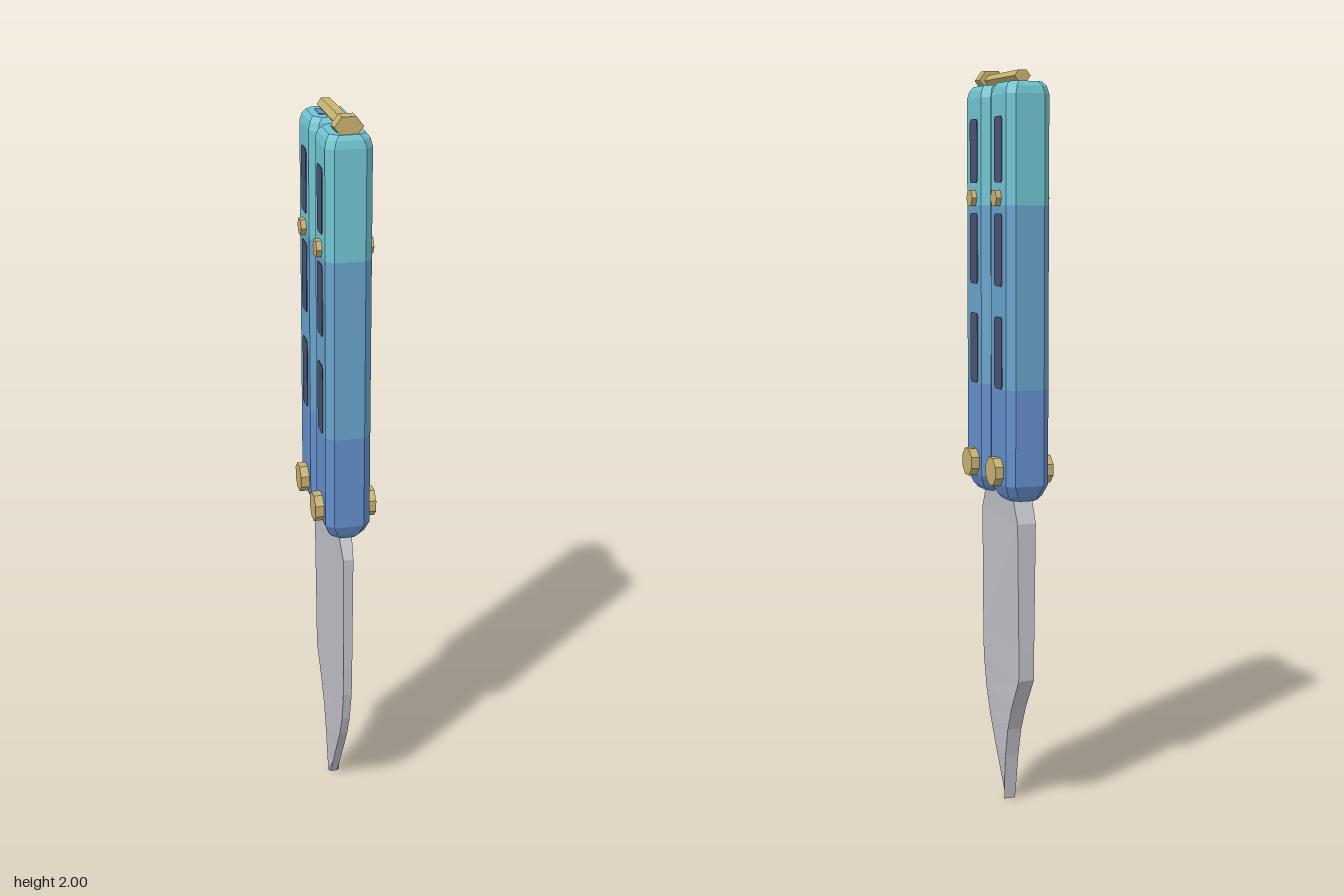
import * as THREE from 'three';

const mat = (name, color, flat = true) => new THREE.MeshStandardMaterial({ name, color, flatShading: flat });

// Closed solid from stacked rings; each ring is a list of [x, y, z], counterclockwise from above
function loft(rings) {
  const pos = [];
  const tri = (...p) => p.forEach(v => pos.push(...v));
  const n = rings[0].length;
  for (let r = 0; r < rings.length - 1; r++) {
    const a = rings[r], b = rings[r + 1];
    for (let i = 0; i < n; i++) {
      const j = (i + 1) % n;
      tri(a[i], a[j], b[j]);
      tri(a[i], b[j], b[i]);
    }
  }
  const lo = rings[0], hi = rings[rings.length - 1];
  for (let i = 1; i < n - 1; i++) {
    tri(lo[0], lo[i + 1], lo[i]);
    tri(hi[0], hi[i], hi[i + 1]);
  }
  const g = new THREE.BufferGeometry();
  g.setAttribute('position', new THREE.Float32BufferAttribute(pos, 3));
  g.computeVertexNormals();
  return g;
}

// Chamfered rectangle ring of the handle at height y, shrunk by inset
function handleRing([y, inset]) {
  const x = 0.06 - inset, z = 0.075 - inset, c = 0.02;
  return [[x, z - c], [x, c - z], [x - c, -z], [c - x, -z], [-x, c - z], [-x, z - c], [c - x, z], [x - c, z]]
    .map(([px, pz]) => [px, y, pz]);
}

// Blade ring: thin cutting edge at +z, thick spine at -z
function bladeRing([y, edgeZ, spineZ, edgeT, spineT]) {
  return [[edgeT, y, edgeZ], [spineT, y, spineZ], [-spineT, y, spineZ], [-edgeT, y, edgeZ]];
}

export function createModel() {
  const teal = mat('teal', 0x70c4d2);
  const midBlue = mat('mid blue', 0x68a3cc);
  const deepBlue = mat('deep blue', 0x648fcc);
  const slotDark = mat('slot dark', 0x4c5272);
  const brass = mat('brass', 0xc8b272);
  const steel = mat('steel', 0xc0c0c8);

  const model = new THREE.Group();
  const add = (parent, name, geo, material, x = 0, y = 0, z = 0) => {
    const m = new THREE.Mesh(geo, material);
    m.name = name;
    m.position.set(x, y, z);
    parent.add(m);
    return m;
  };

  // Blade with tang, from the tip upwards
  add(model, 'blade', loft([
    [0, -0.014, -0.02, 0.009, 0.016],
    [0.06, 0.02, -0.028, 0.010, 0.018],
    [0.13, 0.06, -0.038, 0.011, 0.019],
    [0.21, 0.106, -0.058, 0.011, 0.020],
    [0.28, 0.135, -0.09, 0.011, 0.021],
    [0.37, 0.154, -0.146, 0.012, 0.022],
    [0.45, 0.158, -0.147, 0.012, 0.022],
    [0.80, 0.158, -0.147, 0.014, 0.026],
    [0.86, 0.12, -0.118, 0.018, 0.027],
    [0.90, 0.10, -0.10, 0.024, 0.028],
    [1.055, 0.10, -0.10, 0.024, 0.028],
  ].map(bladeRing)), steel);

  // Slot plate outline with clipped corners
  const slotGeo = height => {
    const w = 0.028, h = height / 2, c = 0.008;
    const s = new THREE.Shape([[w, c - h], [w, h - c], [w - c, h], [c - w, h], [-w, h - c], [-w, c - h], [c - w, -h], [w - c, -h]]
      .map(p => new THREE.Vector2(...p)));
    return new THREE.ExtrudeGeometry(s, { depth: 0.004, bevelEnabled: false })
      .translate(0, 0, -0.002).rotateY(Math.PI / 2);
  };

  // Pin running across a handle
  const pinGeo = (r, half, sides) =>
    new THREE.CylinderGeometry(r, r, half * 2, sides).rotateZ(Math.PI / 2);

  const bands = [
    ['lowerGrip', deepBlue, [[0.862, 0.022], [0.875, 0.012], [0.905, 0], [1.16, 0]]],
    ['middleGrip', midBlue, [[1.16, 0], [1.64, 0]]],
    ['upperGrip', teal, [[1.64, 0], [1.925, 0], [1.945, 0.005], [1.957, 0.014]]],
  ];
  const slots = [[1.785, 0.17], [1.525, 0.19], [1.255, 0.19]];

  for (const [name, z] of [['frontHandle', 0.093], ['backHandle', -0.094]]) {
    const handle = new THREE.Group();
    handle.name = name;
    handle.position.z = z;
    model.add(handle);
    for (const [part, material, rings] of bands) add(handle, part, loft(rings.map(handleRing)), material);
    for (const side of [-1, 1]) {
      for (const [y, h] of slots) add(handle, 'slot', slotGeo(h), slotDark, side * 0.06, y);
    }
    add(handle, 'pivotPin', pinGeo(0.04, 0.083, 8).rotateX(Math.PI / 8), brass, 0, 0.94);
    add(handle, 'spacerPin', pinGeo(0.024, 0.074, 6), brass, 0, 1.66);
    // Inlay on the handle's end
    add(handle, 'endInlay', new THREE.BoxGeometry(0.052, 0.004, 0.06), deepBlue, 0, 1.957, 0);
  }

  // Latch: hexagonal bar with a larger head, lying across both handle ends
  const hexBar = (r, halfHeight, length) =>
    new THREE.CylinderGeometry(r, r, length, 6).rotateY(Math.PI / 2).rotateX(Math.PI / 2)
      .rotateZ(0).scale(1, 1, 1).applyMatrix4(new THREE.Matrix4().makeScale(1, halfHeight / (r * Math.sin(Math.PI / 3)), 1));
  const latch = new THREE.Group();
  latch.name = 'latch';
  model.add(latch);
  add(latch, 'latchBar', hexBar(0.022, 0.015, 0.226), brass, 0, 1.973, 0);
  add(latch, 'latchHead', hexBar(0.037, 0.025, 0.038), brass, 0, 1.975, 0.131);

  return model;
}
